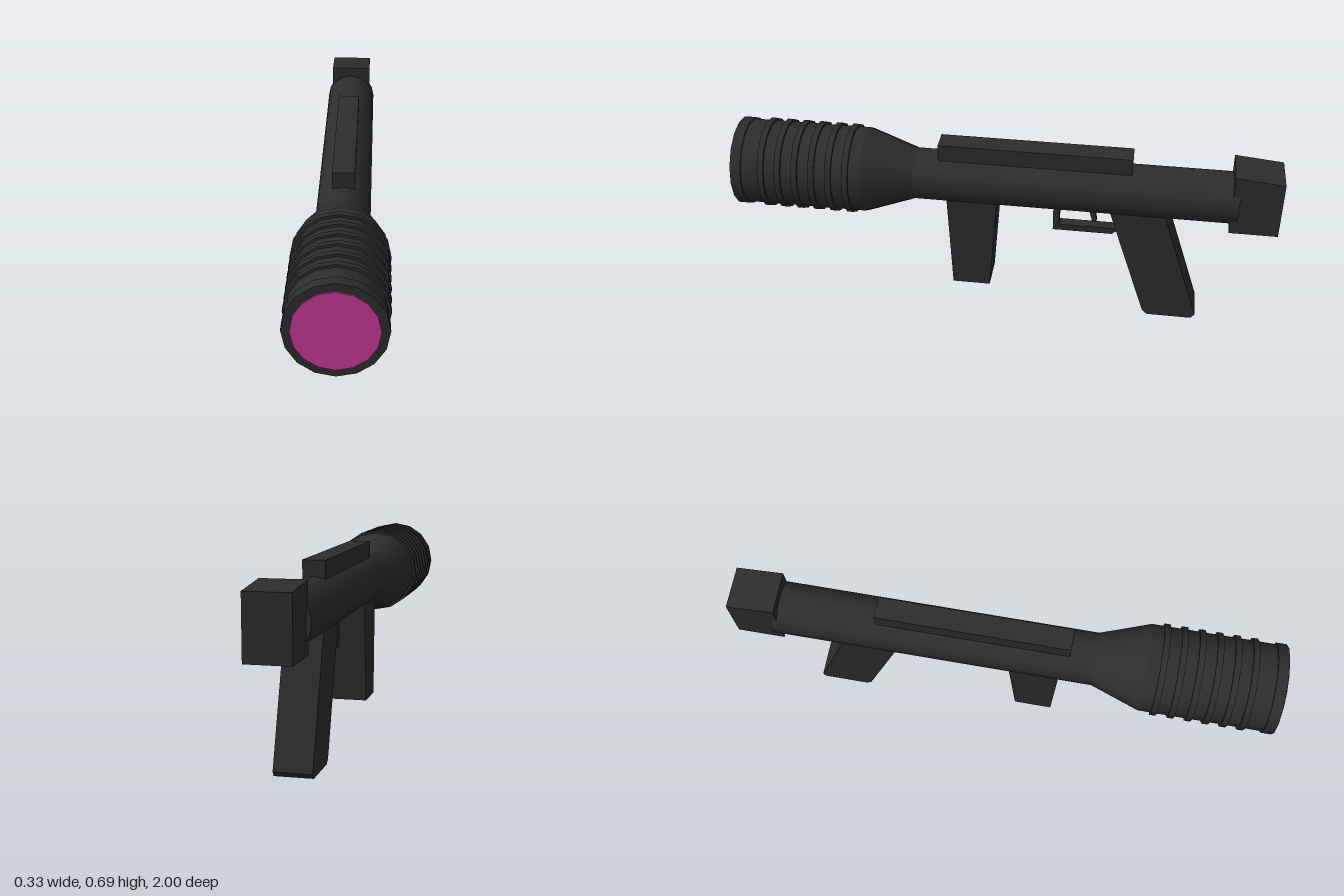
import * as THREE from 'three';

export function createModel() {
  const group = new THREE.Group();
  const black = new THREE.MeshStandardMaterial({ color: 0x2d2d2d });
  black.name = 'matteBlack';
  const pink = new THREE.MeshStandardMaterial({ color: 0xcc3a9c });
  pink.name = 'lensPink';
  const AXIS = 0.525;

  function add(name, geometry, material = black) {
    const mesh = new THREE.Mesh(geometry, material);
    mesh.name = name;
    group.add(mesh);
    return mesh;
  }

  // 16-sided section along z, from back to front
  function tube(name, zBack, zFront, rBack, rFront = rBack, material = black) {
    const g = new THREE.CylinderGeometry(rFront, rBack, zFront - zBack, 16);
    g.rotateX(Math.PI / 2);
    g.translate(0, AXIS, (zBack + zFront) / 2);
    return add(name, g, material);
  }

  // side outline given as [z, y], extruded across x
  function slab(name, outline, width) {
    const shape = new THREE.Shape(outline.map(([z, y]) => new THREE.Vector2(z, y)));
    const g = new THREE.ExtrudeGeometry(shape, { depth: width, bevelEnabled: false });
    g.translate(0, 0, -width / 2);
    g.rotateY(-Math.PI / 2);
    return add(name, g);
  }

  // Barrel and flared front housing
  tube('barrel', -0.85, 0.33, 0.096);
  tube('flare', 0.33, 0.51, 0.096, 0.158);
  tube('housing', 0.51, 0.97, 0.158);
  tube('frontRim', 0.955, 0.994, 0.164);
  tube('lens', 0.992, 1.0, 0.137, 0.137, pink);
  for (let i = 0; i < 6; i++) {
    const z = 0.565 + i * 0.063;
    tube('coolingRib', z - 0.011, z + 0.011, 0.167);
  }

  // Top rail and rear block
  slab('topRail', [[-0.465, 0.58], [0.24, 0.58], [0.24, 0.676], [-0.465, 0.676]], 0.08);
  slab('rearBlock', [[-1, 0.422], [-0.825, 0.422], [-0.825, 0.657], [-1, 0.64]], 0.156);

  // Grips
  slab('foregrip', [[0.192, 0.08], [0.05, 0.08], [0.022, 0.46], [0.209, 0.46]], 0.134);
  slab('rearGrip', [
    [-0.395, 0.46], [-0.541, 0.018], [-0.56, 0], [-0.728, 0], [-0.741, 0.018], [-0.595, 0.46],
  ], 0.134);

  // Trigger and its guard
  slab('triggerGuard', [
    [-0.184, 0.45], [-0.184, 0.332], [-0.405, 0.332], [-0.435, 0.357],
    [-0.207, 0.357], [-0.207, 0.45],
  ], 0.04);
  slab('trigger', [[-0.31, 0.45], [-0.33, 0.375], [-0.346, 0.378], [-0.333, 0.45]], 0.025);

  return group;
}
